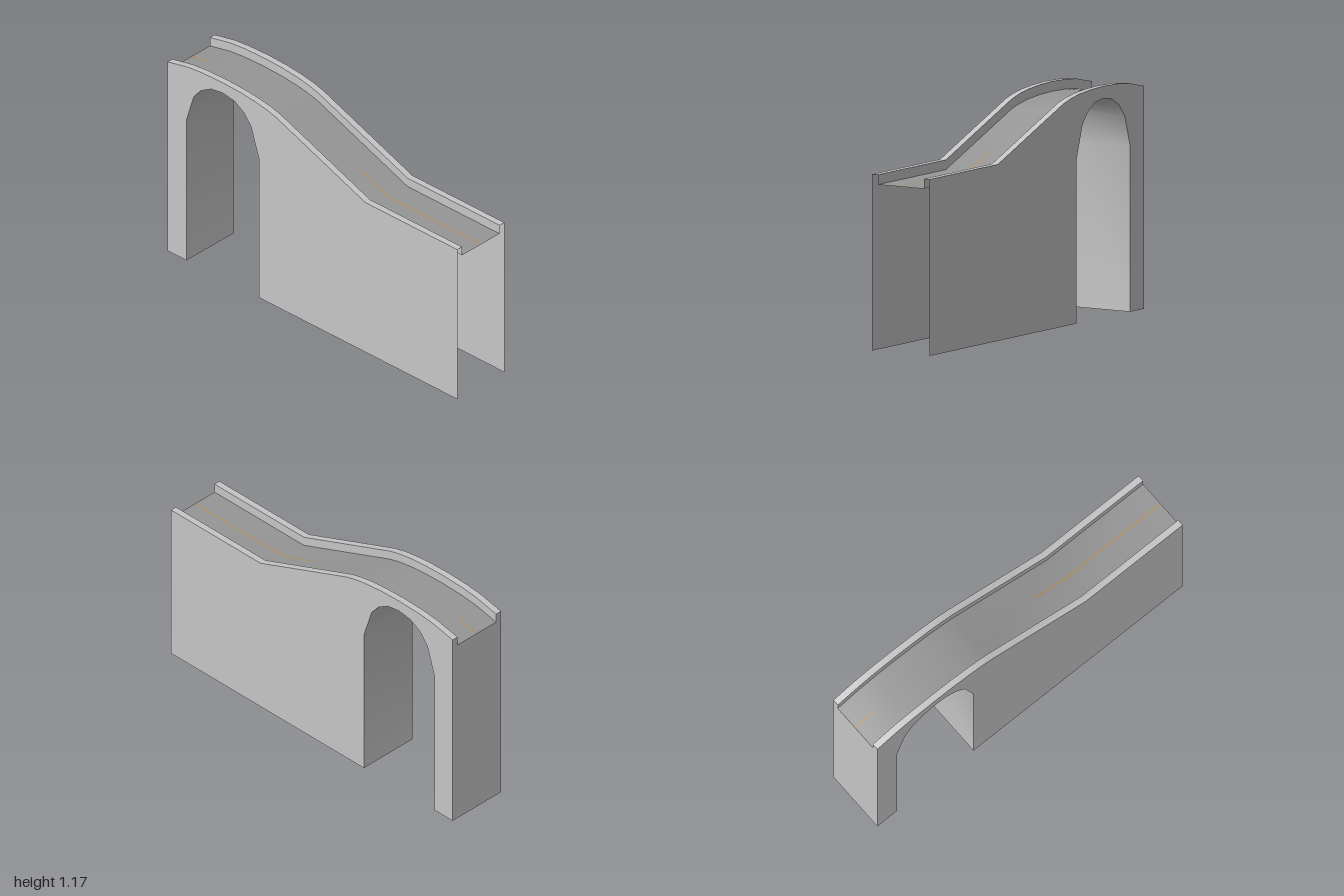
import * as THREE from 'three';
import { toCreasedNormals } from 'three/addons/utils/BufferGeometryUtils.js';

const W = 0.172;     // half width over the side walls
const R = 0.137;     // half width of the roadway
const DROP = 0.05;   // parapet height above the road

// profiles as [z, y]
const top = [[1, 0.895], [0.365, 0.895], [-0.25, 1.13], [-0.32, 1.148], [-0.4, 1.161],
  [-0.5, 1.17], [-0.62, 1.174], [-0.76, 1.17], [-0.86, 1.16], [-1, 1.13]];
const road = top.map(([z, y]) => [z, y - DROP]);
const arch = [[-0.37, 0], [-0.37, 0.83], [-0.425, 1.0], [-0.475, 1.06], [-0.54, 1.1],
  [-0.62, 1.112], [-0.7, 1.1], [-0.77, 1.06], [-0.82, 1.0], [-0.87, 0.84], [-0.87, 0]];

const material = (name, color) => {
  const m = new THREE.MeshStandardMaterial({ color, side: THREE.DoubleSide });
  m.name = name;
  return m;
};

// surface between profile a at x = xa and profile b at x = xb
function ribbon(a, xa, b, xb) {
  const pos = [], index = [];
  a.forEach(([z, y], i) => {
    pos.push(xa, y, z, xb, b[i][1], b[i][0]);
    if (i) {
      const k = 2 * i;
      index.push(k - 2, k - 1, k, k - 1, k + 1, k);
    }
  });
  const g = new THREE.BufferGeometry();
  g.setAttribute('position', new THREE.Float32BufferAttribute(pos, 3));
  g.setIndex(index);
  g.computeVertexNormals();
  return toCreasedNormals(g, 0.6);
}

export function createModel() {
  const model = new THREE.Group();
  const stone = material('light grey stone', 0xc6c6c6);
  const paving = material('grey paving', 0x969696);
  const orange = material('orange line', 0xc98a1e);
  const add = (name, geometry, mat) => {
    const mesh = new THREE.Mesh(geometry, mat);
    mesh.name = name;
    model.add(mesh);
    return mesh;
  };

  // side walls with the arch cut out of their lower edge
  const outline = [...top, [-1, 0], ...arch.slice().reverse(), [1, 0]];
  const wallShape = new THREE.Shape(outline.map(([z, y]) => new THREE.Vector2(-z, y)));
  for (const [side, s] of [['left', 1], ['right', -1]]) {
    const g = new THREE.ShapeGeometry(wallShape).rotateY(Math.PI / 2);
    if (s < 0) g.rotateY(Math.PI).scale(1, 1, -1);
    // keep outward facing winding on both sides
    if (s < 0) {
      const ix = g.index.array;
      for (let i = 0; i < ix.length; i += 3) [ix[i], ix[i + 1]] = [ix[i + 1], ix[i]];
      g.computeVertexNormals();
    }
    add(side + 'Wall', g, stone).position.x = s * W;

    // parapet top and inner face
    const [xa, xb] = s > 0 ? [R, W] : [-W, -R];
    add(side + 'ParapetTop', ribbon(top, xa, top, xb), stone);
    add(side + 'ParapetInner', s > 0 ? ribbon(road, R, top, R) : ribbon(top, -R, road, -R), stone);
  }

  // roadway and the underside of the arch
  add('road', ribbon(road, -R, road, R), paving);
  add('archSoffit', ribbon(arch, W, arch, -W), stone);

  // closed back end, notched for the road
  const h = top[top.length - 1][1];
  const end = new THREE.Shape([[-W, 0], [W, 0], [W, h], [R, h], [R, h - DROP],
    [-R, h - DROP], [-R, h], [-W, h]].map(([x, y]) => new THREE.Vector2(x, y)));
  add('backEndWall', new THREE.ShapeGeometry(end).rotateY(Math.PI), stone).position.z = -1;

  // hairline along the road centre, at both ends
  const lift = ([z, y]) => [z, y + 0.001];
  const slopeY = 0.845 + (0.365 - 0.17) * 0.235 / 0.615;
  const front = [road[0], road[1], [0.17, slopeY]].map(lift);
  const back = [[-0.88, 1.1057], road[road.length - 1]].map(lift);
  add('frontCentreLine', ribbon(front, -0.002, front, 0.002), orange);
  add('backCentreLine', ribbon(back, -0.002, back, 0.002), orange);

  return model;
}
